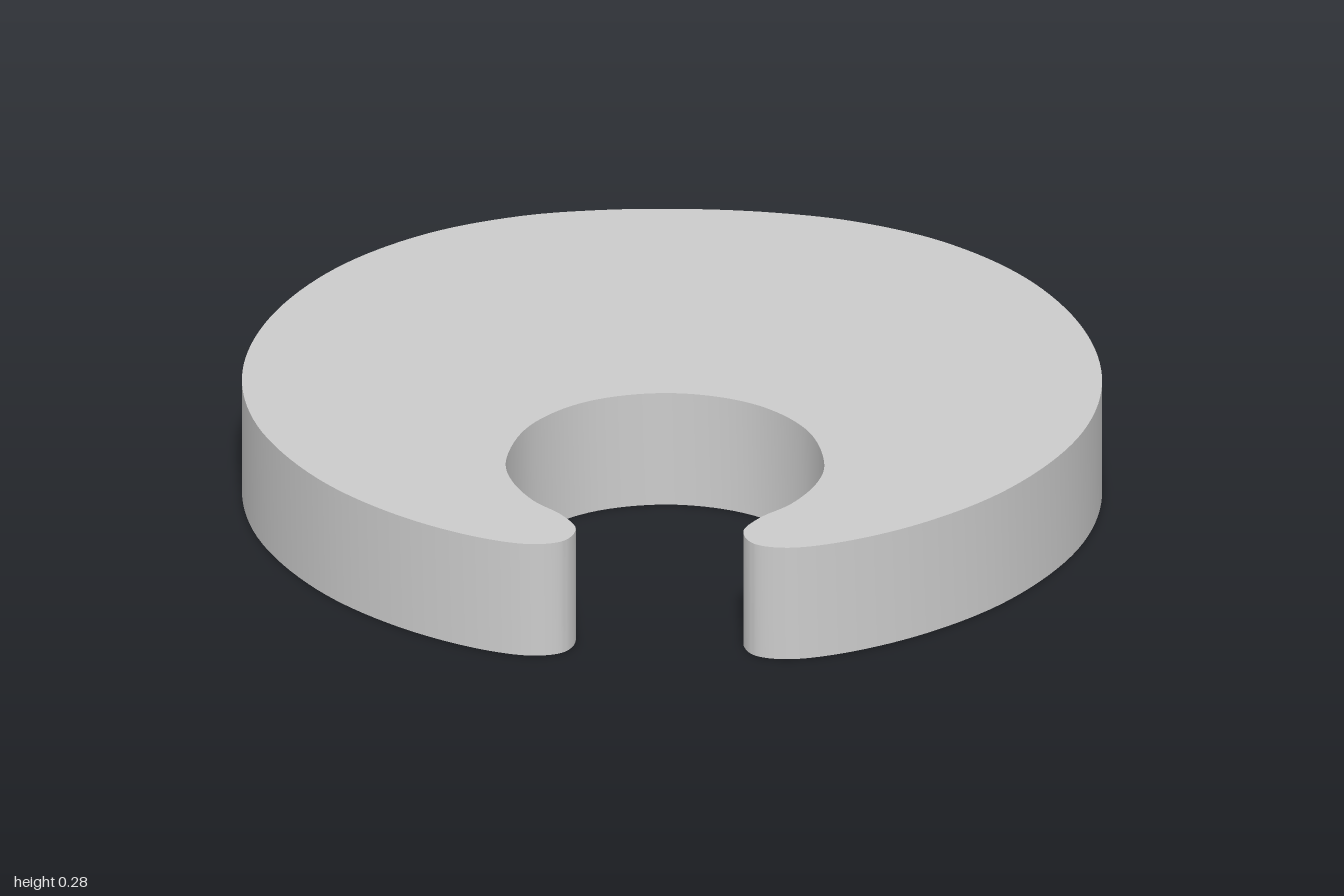
import * as THREE from 'three';
import { toCreasedNormals } from 'three/addons/utils/BufferGeometryUtils.js';

const HEIGHT = 0.285;

// Half outline (x, z): back edge, round rim, rounded tip, then around the notch.
const HALF = [
  [0, -0.945], [0.2, -0.932], [0.39, -0.89], [0.6, -0.785], [0.8, -0.59],
  [0.945, -0.31], [1, 0], [0.955, 0.3], [0.805, 0.59], [0.61, 0.79],
  [0.41, 0.91], [0.29, 0.94], [0.22, 0.918], [0.195, 0.85], [0.23, 0.775],
  [0.3, 0.695], [0.355, 0.58], [0.37, 0.47], [0.32, 0.275], [0.19, 0.137], [0, 0.085],
];

export function createModel() {
  const group = new THREE.Group();

  // Mirror the half into one closed smooth outline
  const mirrored = HALF.slice(1, -1).reverse().map(([x, z]) => [-x, z]);
  const curve = new THREE.CatmullRomCurve3(
    [...HALF, ...mirrored].map(([x, z]) => new THREE.Vector3(x, z, 0)), true, 'centripetal');
  const outline = curve.getPoints(320).slice(0, -1).map((p) => new THREE.Vector2(p.x, p.y));

  // Flat slab with straight walls, lying on the ground
  const slab = new THREE.ExtrudeGeometry(new THREE.Shape(outline), { depth: HEIGHT, bevelEnabled: false });
  slab.rotateX(Math.PI / 2).translate(0, HEIGHT, 0);

  const mesh = new THREE.Mesh(
    toCreasedNormals(slab, Math.PI / 5),
    new THREE.MeshStandardMaterial({ color: 0xcccccc }));
  mesh.name = 'notchedDisc';
  group.add(mesh);
  return group;
}
